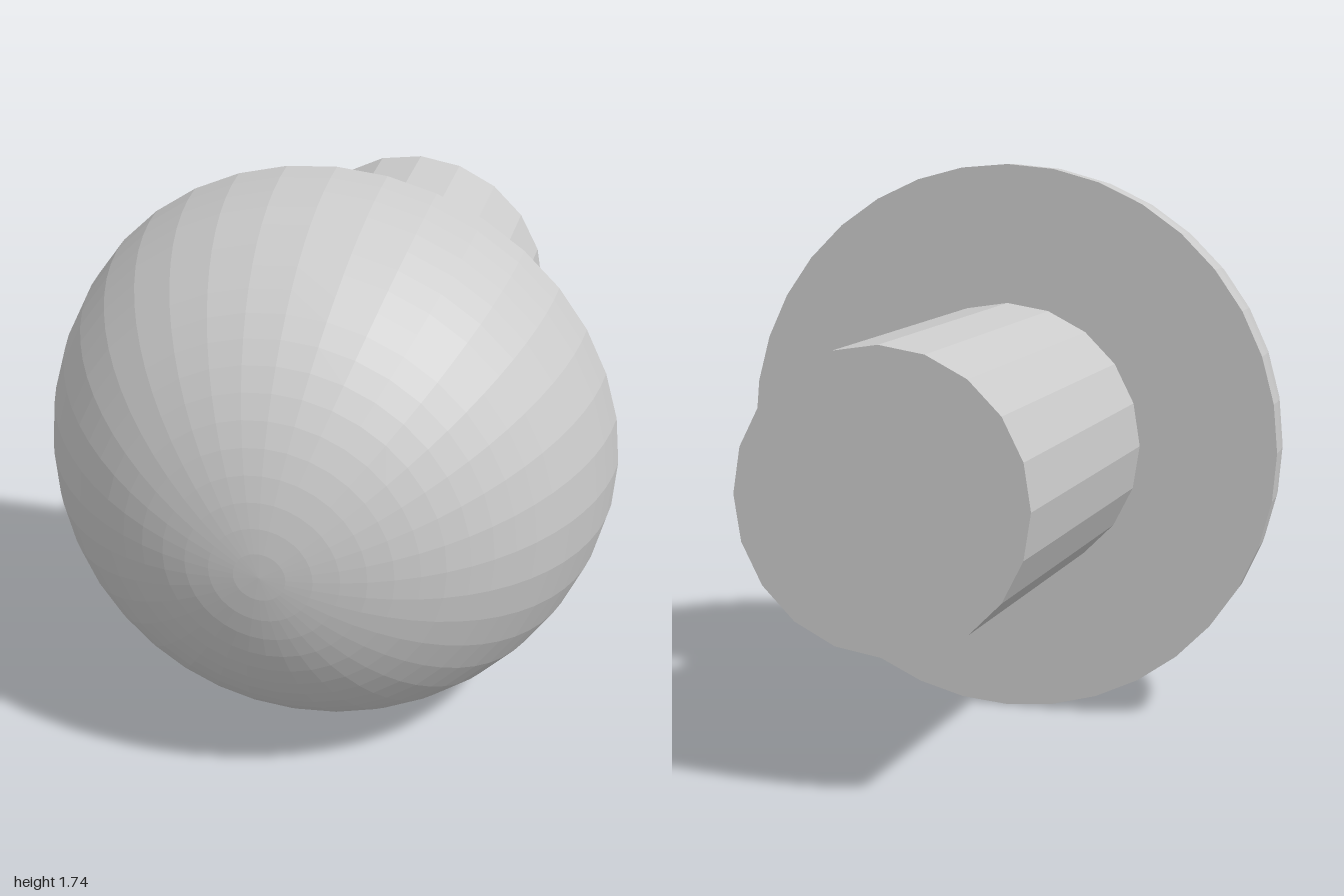
import * as THREE from 'three';

const R = 0.87;        // dome radius
const STEM_R = 0.435;  // stem radius
const PLANE = 0.13;    // z of the dome's flat back
const STEM_LEN = 1 + PLANE;

export function createModel() {
  const group = new THREE.Group();
  const material = new THREE.MeshStandardMaterial({ color: 0xcccccc, flatShading: true });

  // Domed head: flat back plus quarter-circle profile, turned to face +z
  const profile = [new THREE.Vector2(0, 0)];
  const rings = 18;
  for (let i = 0; i <= rings; i++) {
    const a = (i / rings) * Math.PI / 2;
    profile.push(new THREE.Vector2(i === rings ? 0 : R * Math.cos(a), R * Math.sin(a)));
  }
  const dome = new THREE.Mesh(new THREE.LatheGeometry(profile, 36).rotateX(Math.PI / 2), material);
  dome.name = 'domeHead';
  dome.position.set(0, R, PLANE);

  // Faceted stem running back from the flat face
  const stem = new THREE.Mesh(
    new THREE.CylinderGeometry(STEM_R, STEM_R, STEM_LEN, 20).rotateX(Math.PI / 2), material);
  stem.name = 'stem';
  stem.position.set(0, R, PLANE - STEM_LEN / 2);

  group.add(dome, stem);
  return group;
}
